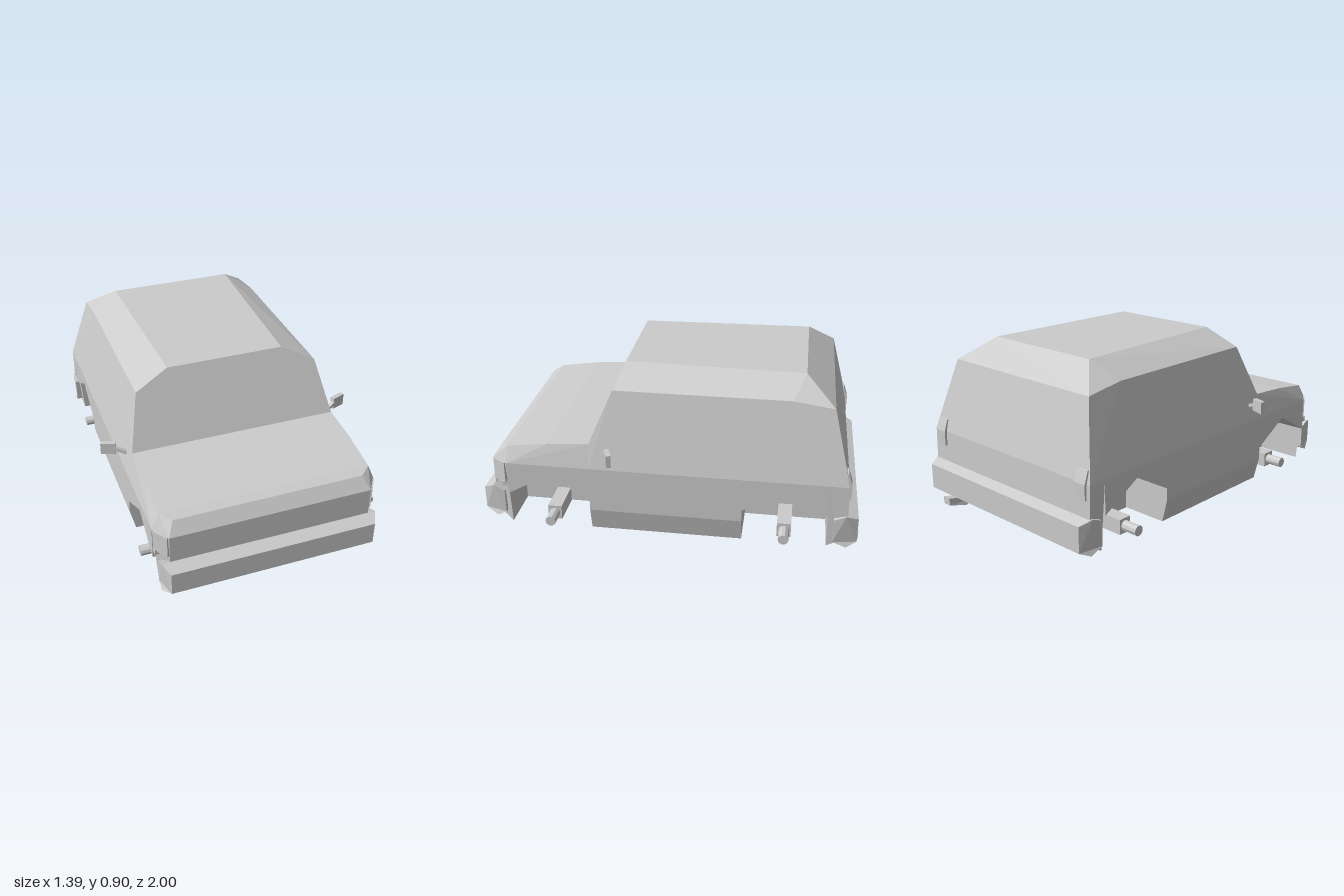
import * as THREE from 'three';
import { ConvexGeometry } from 'three/addons/geometries/ConvexGeometry.js';

const mat = new THREE.MeshStandardMaterial({ color: 0xcccccc, flatShading: true });
const SIDES = [1, -1];

// Extrudes a [z, y] outline across x; lo and hi are x values or rules (z, y) => x.
function prism(outline, lo, hi) {
  const shape = new THREE.Shape(outline.map(([z, y]) => new THREE.Vector2(-z, y)));
  const geo = new THREE.ExtrudeGeometry(shape, { depth: 1, bevelEnabled: false });
  geo.rotateY(Math.PI / 2);
  const p = geo.attributes.position;
  const at = (v, z, y) => (typeof v === 'function' ? v(z, y) : v);
  for (let i = 0; i < p.count; i++) {
    const end = p.getX(i) < 0.5 ? lo : hi;
    p.setX(i, at(end, p.getZ(i), p.getY(i)));
  }
  geo.computeVertexNormals();
  return geo;
}

// Same, placed on the left (s = 1) or right (s = -1) side.
function sidePrism(outline, inner, outer, s) {
  const neg = (v) => (typeof v === 'function' ? (z, y) => -v(z, y) : -v);
  return s > 0 ? prism(outline, inner, outer) : prism(outline, neg(outer), neg(inner));
}

// Convex hull of [x, y, z] points mirrored across x.
function hull(points) {
  return new ConvexGeometry(points.flatMap(([x, y, z]) =>
    SIDES.map((s) => new THREE.Vector3(s * x, y, z))));
}

// Half width of the lower body: tucks in at the sill and at the nose corners.
function bodyWidth(z, y) {
  const tuck = Math.max(0, 0.155 - y) * 0.24;
  const nose = Math.max(0, z - 0.85) * 0.67;
  return 0.593 - tuck - nose;
}

export function createModel() {
  const group = new THREE.Group();
  const add = (name, geo, parent = group) => {
    const mesh = new THREE.Mesh(geo, mat);
    mesh.name = name;
    parent.add(mesh);
    return mesh;
  };

  // Cabin and hood
  add('cabin', hull([
    [0.593, 0.4, 0.41], [0.593, 0.4, -0.925], [0.56, 0.53, 0.41],
    [0.495, 0.81, 0.29], [0.495, 0.81, -0.62], [0.495, 0.78, -0.83],
    [0.315, 0.9, 0.252], [0.345, 0.9, -0.68],
  ]));
  add('hood', hull([
    [0.593, 0.4, 0.41], [0.56, 0.53, 0.41], [0.56, 0.515, 0.63], [0.555, 0.485, 0.85],
    [0.5, 0.468, 0.895], [0.533, 0.4, 0.94], [0.593, 0.4, 0.85],
  ]));

  // Centre of the lower body, between the wheel wells
  add('floorTub', prism([
    [0.94, 0.4], [0.94, 0.24], [0.91, 0.06], [0.85, 0.03],
    [-0.83, 0.03], [-0.88, 0.06], [-0.93, 0.2], [-0.925, 0.4],
  ], -0.31, 0.31));

  // Outer lower body, leaving the wheel wells open
  const arch = (a, b) => {
    const m = (a + b) / 2;
    return [[a, 0.4], [a, 0.22], [m, 0.345], [b, 0.22], [b, 0.4]];
  };
  const panels = {
    noseSide: [[0.94, 0.4], [0.94, 0.24], [0.91, 0.06], [0.85, 0.03], [0.85, 0.4]],
    frontArch: arch(0.85, 0.41),
    doorPanel: [[0.41, 0.4], [0.41, 0.155], [-0.39, 0.155], [-0.39, 0.4]],
    sill: [[0.41, 0.155], [0.41, 0.03], [-0.39, 0.03], [-0.39, 0.155]],
    rearArch: arch(-0.39, -0.83),
    tailSide: [[-0.83, 0.4], [-0.83, 0.03], [-0.88, 0.06], [-0.93, 0.2], [-0.925, 0.4]],
  };
  for (const s of SIDES) {
    for (const [name, outline] of Object.entries(panels)) {
      add(name, sidePrism(outline, 0.31, bodyWidth, s));
    }
  }

  // Bumpers, tapering towards their outer faces
  const frontEnd = (z) => 0.575 - Math.max(0, z - 0.94) * 0.5;
  add('frontBumper', prism([
    [1.0, 0.22], [0.94, 0.25], [0.88, 0.22], [0.88, 0.09], [0.93, 0.065], [1.0, 0.097],
  ], (z) => -frontEnd(z), frontEnd));
  const rearEnd = (z) => 0.603 - Math.max(0, -0.92 - z) * 0.45;
  add('rearBumper', prism([
    [-0.86, 0.21], [-0.92, 0.235], [-0.985, 0.21], [-0.985, 0.075], [-0.93, 0.05], [-0.86, 0.08],
  ], (z) => -rearEnd(z), rearEnd));

  for (const s of SIDES) {
    // Axle stubs and hubs
    for (const z of [0.63, -0.61]) {
      const axle = new THREE.Group();
      axle.name = 'axle';
      axle.position.set(0, 0.068, z);
      group.add(axle);
      add('axleArm', new THREE.BoxGeometry(0.2, 0.08, 0.075), axle).position.x = s * 0.41;
      const hub = add('hub', new THREE.CylinderGeometry(0.028, 0.028, 0.1, 10), axle);
      hub.rotation.z = Math.PI / 2;
      hub.position.x = s * 0.553;
    }

    // Lamps
    const headlight = add('headlight', new THREE.BoxGeometry(0.09, 0.12, 0.014));
    headlight.position.set(s * 0.562, 0.34, 0.896);
    headlight.rotation.y = s * 0.98;
    add('sideIndicator', new THREE.BoxGeometry(0.03, 0.028, 0.03))
      .position.set(s * 0.575, 0.276, 0.867);
    add('tailLight', sidePrism([
      [-0.895, 0.465], [-0.917, 0.463], [-0.938, 0.4], [-0.938, 0.32], [-0.895, 0.32],
    ], 0.5, 0.57, s));

    // Wing mirrors
    const mirror = add('mirror', new THREE.BoxGeometry(0.077, 0.066, 0.025));
    mirror.position.set(s * 0.657, 0.507, 0.29);
    mirror.rotation.y = s * 0.35;
    const from = new THREE.Vector3(s * 0.55, 0.475, 0.335);
    const to = new THREE.Vector3(s * 0.63, 0.51, 0.305);
    const arm = add('mirrorArm', new THREE.BoxGeometry(0.02, 0.018, from.distanceTo(to)));
    arm.position.copy(from).lerp(to, 0.5);
    arm.lookAt(to);
  }

  // Exhaust, kinked outwards at the tip
  const kink = (x) => (z) => x + (z < -0.95 ? 0.02 : 0);
  add('exhaust', prism([
    [-0.83, 0.045], [-0.84, 0.03], [-0.905, 0.0], [-1.0, 0.02], [-1.0, 0.06], [-0.9, 0.045],
  ], kink(0.388), kink(0.438)));

  return group;
}
